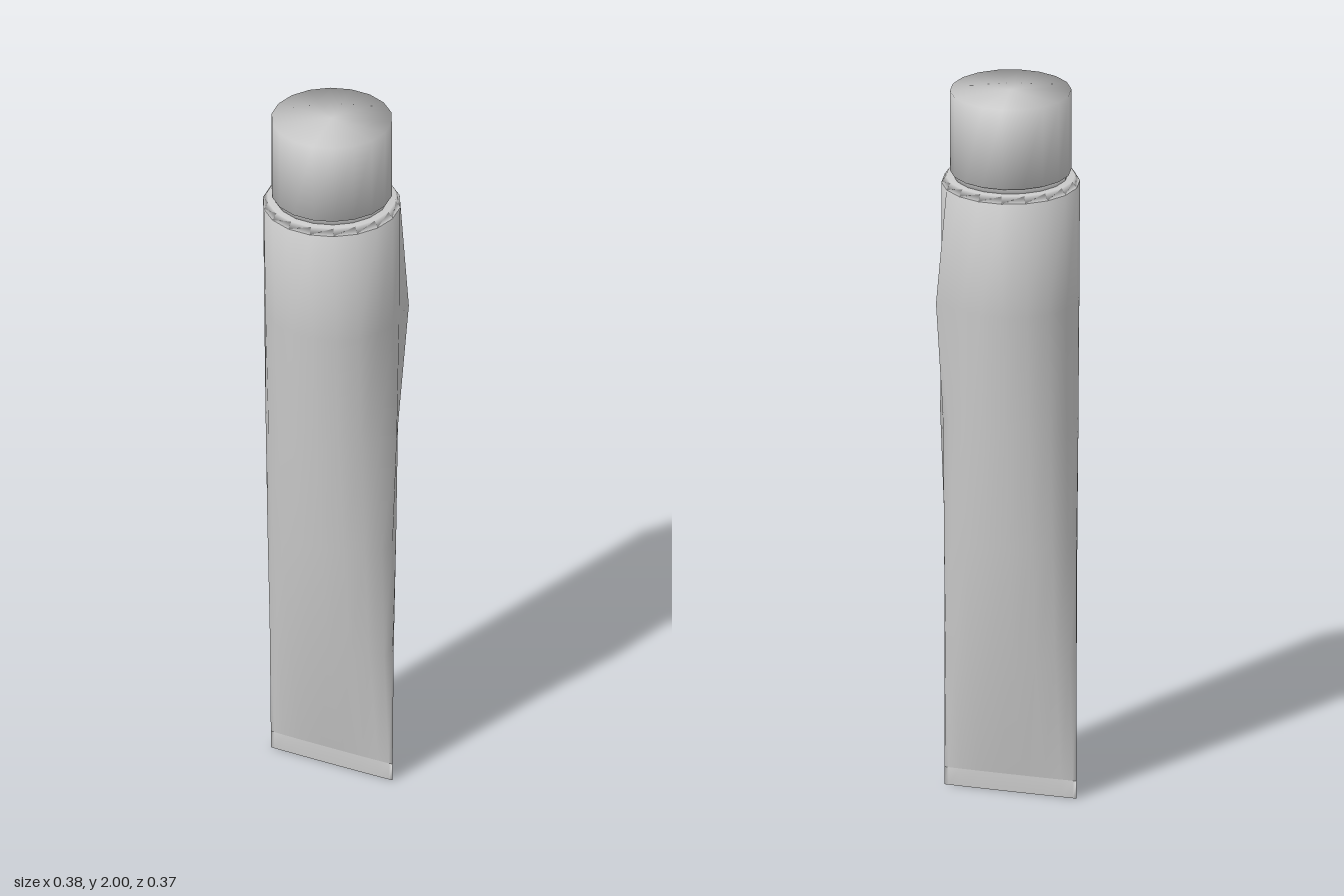
import * as THREE from 'three';

const SIDES = 18;
const CX = -0.007;

// Closed smooth skin through rings [y, radiusX, radiusZ], listed bottom to top.
function loft(name, rings, bumps = []) {
  const pos = [], index = [];
  rings.forEach(([y, rx, rz]) => {
    for (let i = 0; i < SIDES; i++) {
      const a = (i / SIDES) * Math.PI * 2;
      pos.push(CX + rx * Math.cos(a), y, -rz * Math.sin(a));
    }
  });
  bumps.forEach(({ ring, side, x, z }) => {
    const k = (ring * SIDES + side) * 3;
    pos[k] = x;
    pos[k + 2] = z;
  });
  const last = rings.length - 1;
  const bottom = rings.length * SIDES, top = bottom + 1;
  pos.push(CX, rings[0][0], 0, CX, rings[last][0], 0);
  for (let i = 0; i < SIDES; i++) {
    const j = (i + 1) % SIDES;
    for (let r = 0; r < last; r++) {
      const a = r * SIDES + i, b = r * SIDES + j;
      index.push(a, b, b + SIDES, a, b + SIDES, a + SIDES);
    }
    index.push(bottom, j, i, top, last * SIDES + i, last * SIDES + j);
  }
  const geometry = new THREE.BufferGeometry();
  geometry.setAttribute('position', new THREE.Float32BufferAttribute(pos, 3));
  geometry.setIndex(index);
  geometry.computeVertexNormals();
  const mesh = new THREE.Mesh(geometry, new THREE.MeshStandardMaterial({ color: 0xcccccc }));
  mesh.name = name;
  return mesh;
}

export function createModel() {
  const group = new THREE.Group();
  group.name = 'squeezeTube';

  // Body: flat crimped end opening up to a round shoulder, with two dents pushed outward
  group.add(loft('tubeBody', [
    [0.05, 0.186, 0.003],
    [0.40, 0.186, 0.079],
    [0.73, 0.186, 0.118],
    [1.07, 0.186, 0.147],
    [1.41, 0.186, 0.169],
    [1.74, 0.186, 0.186],
  ], [
    { ring: 3, side: 0, x: 0.192, z: 0 },
    { ring: 4, side: 2, x: 0.167, z: -0.113 },
  ]));

  // Crimped seal at the bottom
  group.add(loft('crimp', [[0, 0.186, 0.002], [0.05, 0.186, 0.003]]));

  // Bevelled shoulder, neck and cap
  group.add(loft('shoulder', [[1.74, 0.186, 0.186], [1.758, 0.174, 0.174]]));
  group.add(loft('neck', [[1.75, 0.154, 0.154], [1.785, 0.154, 0.154]]));
  group.add(loft('cap', [[1.773, 0.163, 0.163], [2, 0.163, 0.163]]));

  return group;
}
